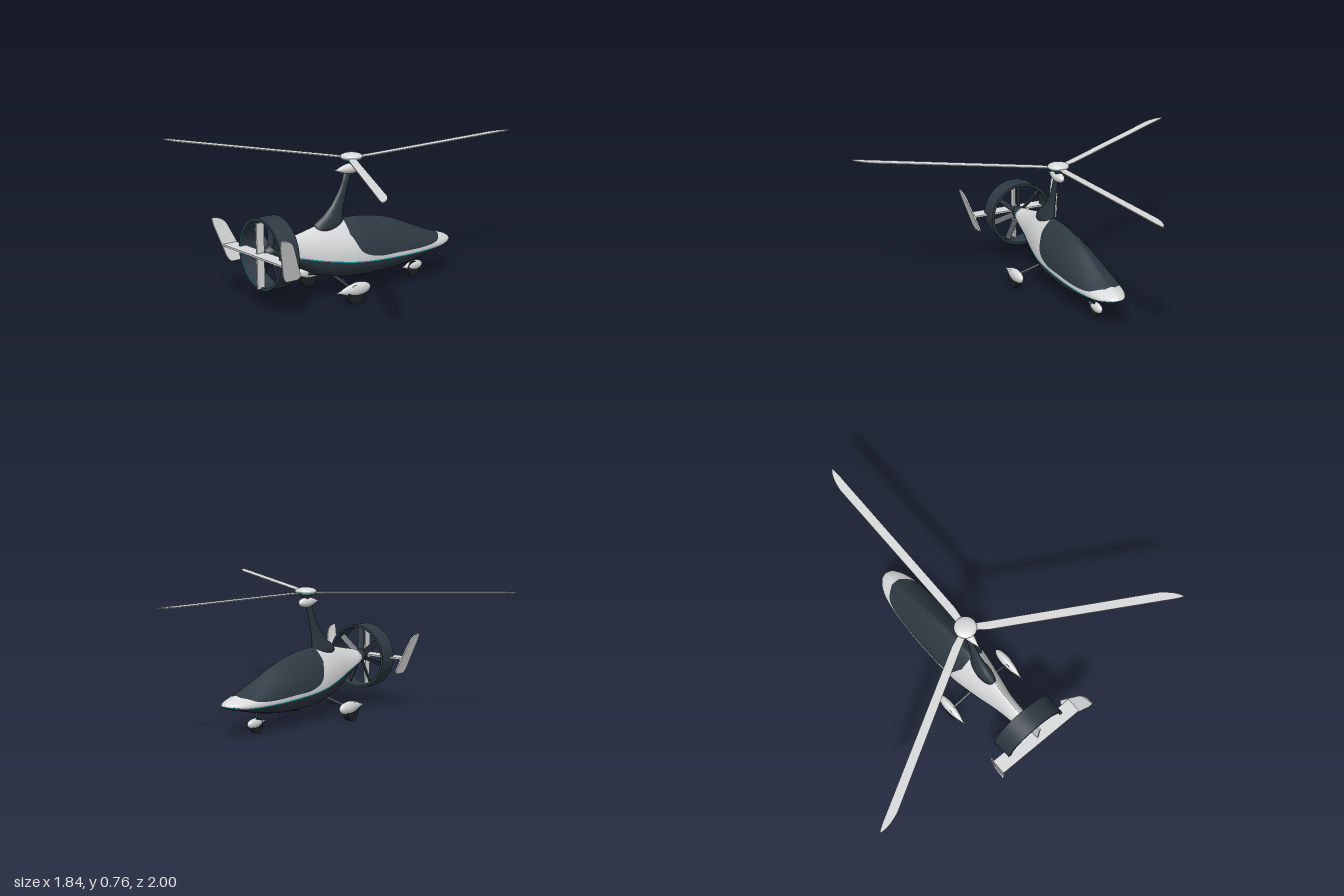
import * as THREE from 'three';

const paint = (name, color) => Object.assign(new THREE.MeshStandardMaterial({ color }), { name });

export function createModel() {
  const white = paint('paleGrey', 0xd9dadb);
  const dark = paint('darkSlate', 0x2e3942);
  const teal = paint('tealTrim', 0x12a3ac);
  const black = paint('tyreBlack', 0x1d2125);

  const model = new THREE.Group();
  const craft = new THREE.Group();
  craft.name = 'gyrocopter';
  craft.position.z = 0.01;
  model.add(craft);

  const add = (name, geo, mat, x = 0, y = 0, z = 0, parent = craft) => {
    const m = new THREE.Mesh(geo, mat);
    m.name = name;
    m.position.set(x, y, z);
    parent.add(m);
    return m;
  };

  // Closed skin through rings of points; colourOf(column, row) picks a material index
  const loft = (rings, colourOf, closeEnds) => {
    const n = rings[0].length, pos = rings.flat(2), geo = new THREE.BufferGeometry();
    const faces = [];
    for (let i = 0; i < rings.length - 1; i++) for (let j = 0; j < n; j++) {
      const a = i * n + j, d = i * n + (j + 1) % n, b = a + n, c = d + n;
      (faces[colourOf(i, j)] ??= []).push(a, b, c, a, c, d);
    }
    if (closeEnds) for (let j = 1; j < n - 1; j++) {
      const e = (rings.length - 1) * n;
      faces[0].push(0, j, j + 1, e, e + j + 1, e + j);
    }
    let start = 0;
    faces.forEach((f, k) => { geo.addGroup(start, f.length, k); start += f.length; });
    geo.setIndex(faces.flat());
    geo.setAttribute('position', new THREE.Float32BufferAttribute(pos, 3));
    geo.computeVertexNormals();
    return geo;
  };

  // Fuselage stations: top, bottom, waist height, half width, belly line, canopy line
  const stations = [
    [-0.73, 0.345, 0.27, 0.30, 0.042, 0.28, 0.325],
    [-0.58, 0.375, 0.18, 0.25, 0.055, 0.24, 0.335],
    [-0.46, 0.40, 0.125, 0.225, 0.08, 0.212, 0.34],
    [-0.305, 0.413, 0.09, 0.205, 0.11, 0.186, 0.335],
    [-0.26, 0.414, 0.086, 0.20, 0.115, 0.181, 0.25],
    [-0.19, 0.41, 0.083, 0.195, 0.12, 0.175, 0.21],
    [0.01, 0.37, 0.086, 0.185, 0.123, 0.167, 0.195],
    [0.21, 0.29, 0.115, 0.18, 0.114, 0.165, 0.193],
    [0.30, 0.253, 0.137, 0.18, 0.101, 0.165, 0.203],
    [0.36, 0.232, 0.152, 0.18, 0.087, 0.167, 0.225],
    [0.42, 0.213, 0.168, 0.183, 0.055, 0.175, 0.205],
    [0.445, 0.199, 0.178, 0.186, 0.028, 0.182, 0.192],
    [0.453, 0.189, 0.184, 0.186, 0.003, 0.185, 0.187],
  ];
  const body = new THREE.CubicInterpolant(stations.map(s => s[0]), stations.flatMap(s => s.slice(1)), 6);
  const xs = [-0.73];
  for (const [end, n] of [[-0.305, 14], [-0.19, 12], [0.36, 26], [0.453, 12]]) {
    const from = xs[xs.length - 1];
    for (let i = 1; i <= n; i++) xs.push(from + (end - from) * i / n);
  }
  const R = 8, half = 3 * R + 1;
  const hullRings = xs.map(x => {
    const [T, B, W, w, S, C0] = Array.from(body.evaluate(x));
    const C = Math.min(Math.max(C0, S + 0.003), T - 0.001);
    const angle = y => Math.asin(THREE.MathUtils.clamp((y - W) / (y > W ? T - W : W - B), -1, 1));
    const stops = [-Math.PI / 2, angle(S), angle(S + Math.min(0.006, (C - S) / 3)), angle(C), Math.PI / 2];
    const side = [];
    [R, 1, R, R].forEach((n, k) => {
      for (let i = 0; i < n; i++) side.push(THREE.MathUtils.lerp(stops[k], stops[k + 1], i / n));
    });
    side.push(stops[4]);
    const pts = side.map(a => {
      const c = Math.max(0, Math.cos(a)), s = Math.sin(a);
      return [x, W + s * (s > 0 ? T - W : W - B), w * (s > 0 ? c ** 1.6 : c ** 0.9)];
    });
    return [...pts, ...pts.slice(1, -1).reverse().map(([px, py, pz]) => [px, py, -pz])];
  });
  // White flanks, dark belly, teal pinstripe, dark canopy
  const hull = loft(hullRings, (i, j) => {
    const row = j < half ? j : 2 * half - 1 - j;
    if (row < R) return 1;
    if (row === R) return 2;
    const canopy = xs[i] > -0.306 && xs[i + 1] < 0.361;
    return row > 2 * R && canopy ? 3 : 0;
  }, true);
  add('fuselage', hull, [white, dark, teal, dark]);

  // Swept rotor mast: height, rear x, front x, half thickness
  const mastRings = [
    [0.36, -0.50, -0.30, 0.04], [0.405, -0.485, -0.30, 0.036], [0.44, -0.43, -0.30, 0.027],
    [0.49, -0.375, -0.29, 0.019], [0.56, -0.325, -0.272, 0.015], [0.61, -0.302, -0.255, 0.014],
    [0.67, -0.285, -0.23, 0.013],
  ].map(([y, x0, x1, t]) => Array.from({ length: 24 }, (_, k) => {
    const a = k / 24 * Math.PI * 2;
    return [(x0 + x1) / 2 + Math.cos(a) * (x1 - x0) / 2, y, Math.sin(a) * t];
  }));
  add('mast', loft(mastRings, () => 0, true), [dark]);

  // Teardrop pod pointing along +x
  const teardrop = (len, h, w) => {
    const curve = new THREE.SplineCurve([[0, 0], [0.15, 0.22], [0.35, 0.68], [0.6, 1], [0.82, 0.86], [0.95, 0.48], [1, 0]]
      .map(([t, r]) => new THREE.Vector2(r, t - 0.5)));
    const pts = curve.getPoints(28).map(p => p.setX(Math.max(0, p.x)));
    return new THREE.LatheGeometry(pts, 28).rotateZ(-Math.PI / 2).scale(len, h / 2, w / 2);
  };
  add('mastFairing', teardrop(0.185, 0.058, 0.054), white, -0.268, 0.674);

  // Rotor head and three blades
  const rotor = new THREE.Group();
  rotor.name = 'rotor';
  rotor.position.set(-0.236, 0.73, 0);
  craft.add(rotor);
  add('rotorShaft', new THREE.CylinderGeometry(0.018, 0.018, 0.06, 20), dark, 0, -0.02, 0, rotor);
  add('rotorCollar', new THREE.CylinderGeometry(0.03, 0.022, 0.012, 24), dark, 0, -0.02, 0, rotor);
  add('rotorTrim', new THREE.CylinderGeometry(0.055, 0.05, 0.006, 32), teal, 0, -0.008, 0, rotor);
  add('rotorHub', new THREE.SphereGeometry(1, 32, 20).scale(0.061, 0.022, 0.061), white, 0, 0.008, 0, rotor);
  const bladeShape = new THREE.Shape();
  bladeShape.moveTo(0.03, -0.018);
  bladeShape.lineTo(0.12, -0.016);
  bladeShape.lineTo(1.03, -0.016);
  bladeShape.quadraticCurveTo(1.12, -0.005, 1.156, 0.028);
  bladeShape.quadraticCurveTo(1.14, 0.036, 1.06, 0.034);
  bladeShape.lineTo(0.12, 0.03);
  bladeShape.lineTo(0.03, 0.018);
  const bladeGeo = new THREE.ExtrudeGeometry(bladeShape, { depth: 0.005, bevelEnabled: false })
    .rotateX(Math.PI / 2).rotateZ(0.02);
  for (let k = 0; k < 3; k++) add('rotorBlade', bladeGeo, white, 0, 0.003, 0, rotor).rotation.y = -k * Math.PI * 2 / 3;

  // Ducted pusher propeller
  const ring = new THREE.Shape().absarc(0, 0, 0.19, 0, Math.PI * 2);
  ring.holes.push(new THREE.Path().absarc(0, 0, 0.176, 0, Math.PI * 2, true));
  add('duct', new THREE.ExtrudeGeometry(ring, { depth: 0.115, bevelEnabled: false, curveSegments: 72 })
    .rotateY(Math.PI / 2), dark, -0.836, 0.302);
  add('ductTrim', new THREE.TorusGeometry(0.176, 0.002, 6, 72).rotateY(Math.PI / 2), teal, -0.835, 0.302);
  add('propellerSpinner', new THREE.SphereGeometry(1, 24, 16).scale(0.065, 0.04, 0.04), dark, -0.75, 0.305);
  for (let k = 0; k < 7; k++) {
    const spoke = new THREE.Group();
    spoke.name = 'propellerBlade';
    spoke.position.set(-0.765, 0.302, 0);
    spoke.rotation.x = k * Math.PI * 2 / 7;
    craft.add(spoke);
    add('blade', new THREE.BoxGeometry(0.006, 0.145, 0.034), dark, 0, 0.1, 0, spoke).rotation.y = 0.6;
  }

  // Tail: cross-shaped stabilisers behind the duct and canted tip fins
  add('tailplane', new THREE.BoxGeometry(0.085, 0.01, 0.54), white, -0.842, 0.305);
  add('tailPost', new THREE.BoxGeometry(0.045, 0.35, 0.01), white, -0.832, 0.295);
  const fin = new THREE.Shape();
  fin.moveTo(-0.922, 0.15);
  fin.quadraticCurveTo(-0.85, 0.15, -0.83, 0.09);
  fin.lineTo(-0.766, -0.065);
  fin.quadraticCurveTo(-0.765, -0.092, -0.79, -0.092);
  fin.lineTo(-0.845, -0.092);
  fin.quadraticCurveTo(-0.868, -0.085, -0.88, -0.03);
  fin.lineTo(-0.918, 0.11);
  const finGeo = new THREE.ExtrudeGeometry(fin, { depth: 0.008, bevelEnabled: false }).translate(0, 0, -0.004);

  // Main wheels, legs and fins on both sides
  for (const s of [1, -1]) {
    add('tailFin', finGeo, white, 0, 0.305, s * 0.272).rotation.x = s * 0.27;
    add('wheelFairing', teardrop(0.235, 0.075, 0.052), white, -0.397, 0.078, s * 0.21);
    add('mainWheel', new THREE.CylinderGeometry(0.053, 0.053, 0.032, 32).rotateX(Math.PI / 2), black, -0.385, 0.053, s * 0.21);
    const leg = new THREE.LineCurve3(new THREE.Vector3(-0.385, 0.115, s * 0.03), new THREE.Vector3(-0.385, 0.072, s * 0.2));
    add('mainLeg', new THREE.TubeGeometry(leg, 1, 0.009, 10), dark);
    const brace = new THREE.LineCurve3(new THREE.Vector3(-0.35, 0.1, s * 0.05), new THREE.Vector3(-0.38, 0.075, s * 0.19));
    add('legBrace', new THREE.TubeGeometry(brace, 1, 0.004, 8), dark);
  }

  // Nose wheel and belly aerial
  add('noseFairing', teardrop(0.155, 0.056, 0.042), white, 0.19, 0.057);
  add('noseWheel', new THREE.CylinderGeometry(0.042, 0.042, 0.026, 32).rotateX(Math.PI / 2), black, 0.195, 0.042);
  add('noseStrut', new THREE.CylinderGeometry(0.007, 0.007, 0.07, 12), dark, 0.195, 0.1);
  add('bellyAerial', new THREE.CylinderGeometry(0.003, 0.002, 0.05, 8), dark, -0.17, 0.075).rotation.z = -0.3;

  // The mast skin runs upward, so its rings already face outward
  return model;
}
